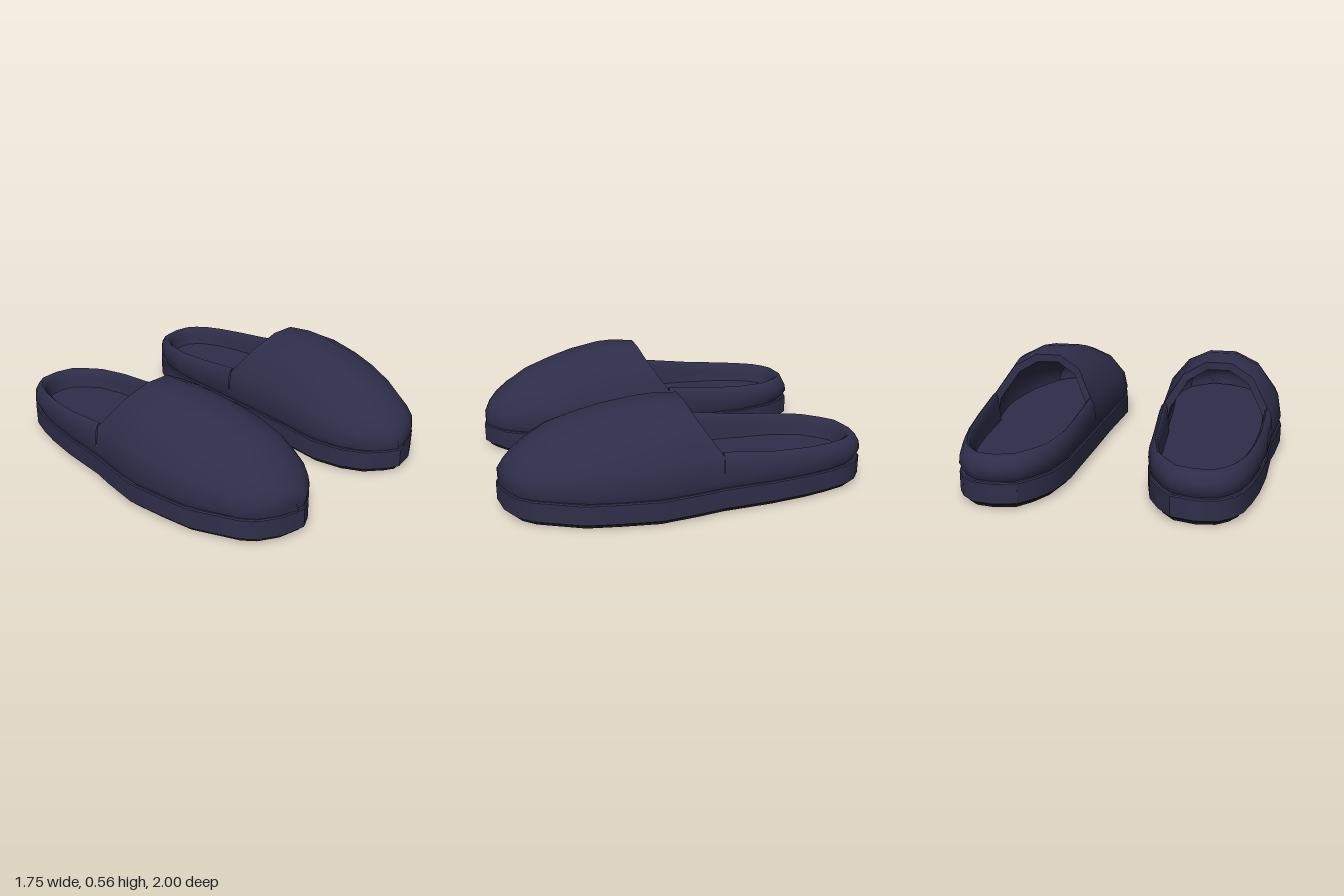
import * as THREE from 'three';
import { toCreasedNormals } from 'three/addons/utils/BufferGeometryUtils.js';

// Plan outline of one slipper as [x, z]: outer edge toe to heel, inner edge heel to toe
const OUTER = [[0.41, 0.995], [0.54, 0.97], [0.65, 0.91], [0.71, 0.84], [0.82, 0.6], [0.85, 0.42],
  [0.875, 0.22], [0.85, 0], [0.83, -0.12], [0.815, -0.4], [0.79, -0.6], [0.76, -0.74], [0.725, -0.86],
  [0.68, -0.93], [0.61, -0.985], [0.5, -1]];
const INNER = [[0.5, -1], [0.38, -0.97], [0.31, -0.89], [0.25, -0.78], [0.21, -0.6], [0.2, -0.4],
  [0.185, -0.12], [0.18, 0], [0.17, 0.2], [0.155, 0.4], [0.14, 0.6], [0.175, 0.76], [0.24, 0.88],
  [0.34, 0.96], [0.41, 0.995]];
const OUTLINE = [...OUTER, ...INNER.slice(1, -1)];

// Piecewise linear lookup in [key, value] pairs sorted by key
function lerpTable(table, k) {
  if (k <= table[0][0]) return table[0][1];
  for (let i = 1; i < table.length; i++) {
    const [k0, v0] = table[i - 1], [k1, v1] = table[i];
    if (k <= k1) return v0 + (v1 - v0) * (k - k0) / (k1 - k0);
  }
  return table[table.length - 1][1];
}

const byZ = (edge) => edge.map(([x, z]) => [z, x]).sort((a, b) => a[0] - b[0]);
const OUTER_X = byZ(OUTER), INNER_X = byZ(INNER);

// Outline point i moved inward by d
function inset(i, d) {
  const n = OUTLINE.length;
  const p = OUTLINE[(i + n - 1) % n], q = OUTLINE[(i + 1) % n];
  const dx = q[0] - p[0], dz = q[1] - p[1], len = Math.hypot(dx, dz);
  return [OUTLINE[i][0] + d * dz / len, OUTLINE[i][1] - d * dx / len];
}

const ring = (d, y) => OUTLINE.map((_, i) => {
  const [x, z] = inset(i, d);
  return [x, y, z];
});
const centreRing = (y) => OUTLINE.map(() => [0.5, y, 0]);

// Skin a list of equally sized rings
function loft(rings, closed, crease) {
  const n = rings[0].length, index = [];
  for (let i = 0; i < rings.length - 1; i++) {
    for (let j = 0; j < (closed ? n : n - 1); j++) {
      const k = (j + 1) % n;
      const a = i * n + j, b = i * n + k, c = b + n, d = a + n;
      index.push(a, b, c, a, c, d);
    }
  }
  const geo = new THREE.BufferGeometry();
  geo.setAttribute('position', new THREE.Float32BufferAttribute(rings.flat(2), 3));
  geo.setIndex(index);
  return toCreasedNormals(geo, crease);
}

// Arched section of the toe cover: its rear rings lean forward towards the top
const ANGLES = [180, 159, 128, 103, 77, 52, 21, 0];
function archRing(z, top, thickness = 0) {
  const r = lerpTable(OUTER_X, z), l = lerpTable(INNER_X, z);
  const c = (r + l) / 2, hw = Math.max((r - l) / 2 - thickness, 0.01);
  const lean = 0.15 * THREE.MathUtils.clamp((0.25 - z) / 0.37, 0, 1);
  const pts = ANGLES.map((deg) => {
    const t = deg * Math.PI / 180;
    const y = 0.18 + (top - thickness - 0.18) * Math.sin(t);
    const f = Math.pow(THREE.MathUtils.clamp((y + thickness - 0.335) / 0.22, 0, 1), 0.7);
    return [c + hw * Math.cos(t), y, z + lean * f];
  });
  const foot = (s) => [c + s * Math.max(hw - 0.015, 0.005), 0.138, z];
  return [foot(-1), ...pts, foot(1)];
}

function toeCover() {
  const stations = [[0.985, 0.215], [0.95, 0.265], [0.9, 0.315], [0.83, 0.37], [0.72, 0.44], [0.57, 0.49],
    [0.43, 0.53], [0.25, 0.56], [0.1, 0.565], [0, 0.56], [-0.12, 0.555]];
  const rings = stations.map(([z, h]) => archRing(z, h));
  // closed tip under the toe
  rings.unshift(rings[0].map(([x]) => [x, 0.138, 0.975]));
  // lip and lining
  const lining = stations.slice(3).reverse().map(([z, h]) => archRing(z, h, 0.045));
  return loft([...rings, ...lining], false, 0.95);
}

function heelWall() {
  const heights = [[-1, 0.275], [-0.65, 0.285], [-0.45, 0.3], [-0.28, 0.305], [-0.12, 0.335]];
  // [inset, height, share of the rim height]
  const profile = [[0.015, 0.138, 0], [0, 0.18, 0], [0.004, -0.055, 1], [0.018, -0.015, 1], [0.034, 0, 1],
    [0.048, -0.015, 1], [0.052, -0.06, 1], [0.064, 0.155, 0]];
  const columns = OUTLINE.map((p, i) => i).filter((i) => OUTLINE[i][1] <= -0.12);
  const rings = profile.map(([d, y, share]) => columns.map((i) => {
    const z0 = OUTLINE[i][1];
    const thicker = 1 + 0.6 * THREE.MathUtils.smoothstep(-z0, 0.7, 0.98);
    const [x, z] = inset(i, d * thicker);
    return [x, y + share * lerpTable(heights, z0), z];
  }));
  return loft(rings, false, 1.2);
}

export function createModel() {
  const navy = new THREE.MeshStandardMaterial({ color: 0x2f2e4a, side: THREE.DoubleSide });
  navy.name = 'navy fabric';
  const black = new THREE.MeshStandardMaterial({ color: 0x1a1a1a });
  black.name = 'black rubber';

  const parts = [
    ['outsole', loft([centreRing(0), ring(0.03, 0), ring(0.024, 0.02)], true, 0.6), black],
    ['midsole', loft([ring(0.024, 0.015), ring(0, 0.03), ring(0, 0.135), ring(0.006, 0.141),
      ring(0.04, 0.141)], true, 0.6), navy],
    ['insole', loft([ring(0.045, 0.165), centreRing(0.165)], true, 0.6), navy],
    ['toeCover', toeCover(), navy],
    ['heelWall', heelWall(), navy],
  ];

  const model = new THREE.Group();
  model.name = 'slippers';
  for (const side of [1, -1]) {
    const slipper = new THREE.Group();
    slipper.name = side > 0 ? 'leftSlipper' : 'rightSlipper';
    for (const [name, geometry, material] of parts) {
      const mesh = new THREE.Mesh(geometry, material);
      mesh.name = name;
      slipper.add(mesh);
    }
    slipper.scale.x = side;
    model.add(slipper);
  }
  return model;
}
